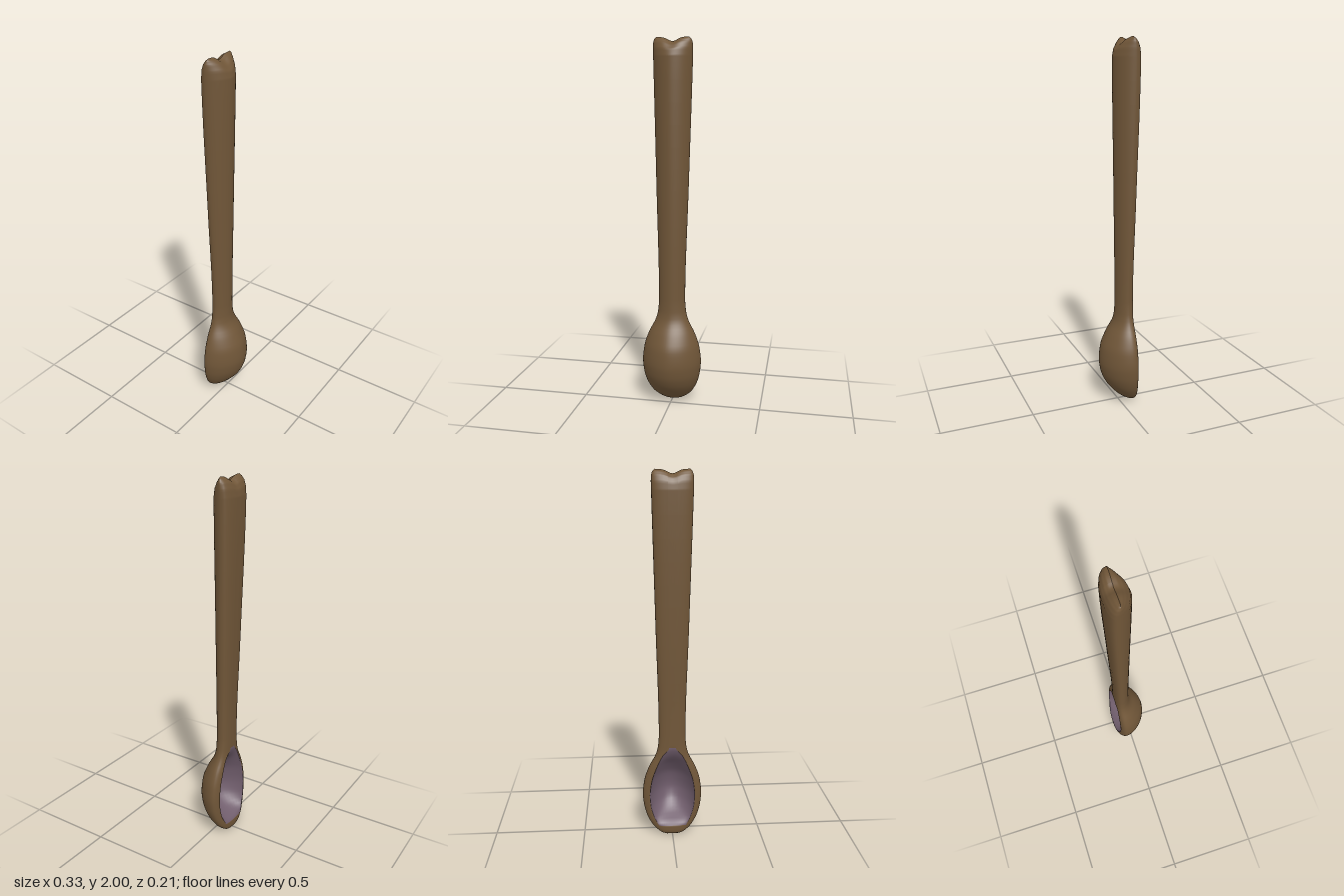
import * as THREE from 'three';

// Cross-sections: height, half width, front z, z of widest point, back z, hollow half width, hollow depth
const SECTIONS = [
  [0.0, 0.03, -0.07, -0.07, -0.07, 0.02, 0],
  [0.012, 0.058, -0.034, -0.068, -0.087, 0.04, 0],
  [0.035, 0.09, 0.0, -0.06, -0.092, 0.06, 0],
  [0.06, 0.114, 0.026, -0.052, -0.092, 0.076, 0],
  [0.12, 0.145, 0.072, -0.042, -0.088, 0.107, 0.085],
  [0.18, 0.16, 0.096, -0.037, -0.086, 0.122, 0.135],
  [0.24, 0.165, 0.104, -0.035, -0.085, 0.126, 0.15],
  [0.32, 0.156, 0.096, -0.035, -0.084, 0.117, 0.135],
  [0.4, 0.13, 0.064, -0.036, -0.081, 0.092, 0.085],
  [0.48, 0.09, 0.022, -0.038, -0.077, 0.055, 0.018],
  [0.53, 0.078, 0.014, -0.04, -0.076, 0.018, 0],
  [0.6, 0.073, 0.012, -0.04, -0.076, 0.018, 0],
  [1.2, 0.088, 0.017, -0.052, -0.089, 0.02, 0],
  [1.9, 0.106, 0.024, -0.064, -0.104, 0.025, 0],
  [1.945, 0.107, 0.015, -0.063, -0.098, 0.025, 0],
  [1.975, 0.105, -0.005, -0.058, -0.086, 0.025, 0],
  [1.992, 0.099, -0.025, -0.053, -0.07, 0.025, 0],
  [2.002, 0.088, -0.05, -0.05, -0.05, 0.025, 0],
];

// Smooth interpolation of a section column without overshoot
function slope(i, k) {
  if (i === 0 || i === SECTIONS.length - 1) return 0;
  const [p, q, r] = [SECTIONS[i - 1], SECTIONS[i], SECTIONS[i + 1]];
  const a = (q[k] - p[k]) / (q[0] - p[0]);
  const b = (r[k] - q[k]) / (r[0] - q[0]);
  return a * b <= 0 ? 0 : (2 * a * b) / (a + b);
}

function sample(i, t) {
  const p = SECTIONS[i], q = SECTIONS[i + 1], d = q[0] - p[0];
  return p.map((v, k) => {
    if (k === 0) return v + d * t;
    if (i === 0 || i >= SECTIONS.length - 5) return v + (q[k] - v) * t;
    const t2 = t * t, t3 = t2 * t;
    return (2 * t3 - 3 * t2 + 1) * v + (t3 - 2 * t2 + t) * d * slope(i, k)
      + (3 * t2 - 2 * t3) * q[k] + (t3 - t2) * d * slope(i + 1, k);
  });
}

const FRONT = 32, RIM = 7, HOLLOW = 18;
const arc = (u, p) => Math.pow(Math.max(0, 1 - Math.pow(Math.min(1, Math.abs(u)), p)), 1 / p);

// One closed ring: front curve, rim, hollow, rim
function ringPoints([y, w, zf, zm, zb, hIn, depth]) {
  const pts = [];
  const h = Math.min(hIn, 0.9 * w);
  const back = (x) => zm + (zb - zm) * arc(x / w, 2.6);
  for (let j = 0; j < FRONT; j++) {
    const x = w * Math.cos((j / FRONT) * Math.PI);
    pts.push([x, zm + (zf - zm) * arc(x / w, 1.78)]);
  }
  const edge = Math.acos(h / w);
  for (let j = 0; j < RIM; j++) {
    const x = -w * Math.cos((j / RIM) * edge);
    pts.push([x, back(x)]);
  }
  for (let j = 0; j <= HOLLOW; j++) {
    const u = -Math.cos((j / HOLLOW) * Math.PI);
    pts.push([u * h, back(u * h) + depth * Math.pow(Math.max(0, 1 - u * u), 0.8)]);
  }
  for (let j = RIM - 1; j > 0; j--) {
    const x = w * Math.cos((j / RIM) * edge);
    pts.push([x, back(x)]);
  }
  // Dip in the middle of the handle's end
  const ramp = Math.max(0, (y - 1.9) / 0.1);
  return pts.map(([x, z]) => [x, y - 0.021 * ramp * Math.exp(-((x / 0.035) ** 2)), z]);
}

export function createModel() {
  const wood = new THREE.MeshStandardMaterial({ color: 0x705638 });
  wood.name = 'brown';
  const inner = new THREE.MeshStandardMaterial({ color: 0x715e6d });
  inner.name = 'dusty purple';

  // Rings from the tip of the bowl to the end of the handle
  const rows = [];
  for (let i = 0; i < SECTIONS.length - 1; i++) {
    const steps = SECTIONS[i][0] >= 0.6 && SECTIONS[i][0] < 1.9 ? 6 : 4;
    for (let s = 0; s < steps; s++) rows.push(sample(i, s / steps));
  }
  rows.push(SECTIONS[SECTIONS.length - 1]);
  const rings = rows.map(ringPoints);
  const n = rings[0].length;

  // Faces, sorted into the body and the hollow of the bowl
  const bodyFaces = [], hollowFaces = [];
  for (let i = 0; i < rings.length - 1; i++) {
    const mid = (rows[i][0] + rows[i + 1][0]) / 2;
    for (let j = 0; j < n; j++) {
      const k = (j + 1) % n;
      const a = i * n + j, b = a + n, c = i * n + k, d = c + n;
      const inHollow = j >= FRONT + RIM && j < FRONT + RIM + HOLLOW && mid > 0.06 && mid < 0.53;
      (inHollow ? hollowFaces : bodyFaces).push(a, b, c, b, d, c);
    }
  }

  // Both parts share smooth normals across their border
  const whole = new THREE.BufferGeometry();
  whole.setAttribute('position', new THREE.Float32BufferAttribute(rings.flat(2), 3));
  whole.setIndex([...bodyFaces, ...hollowFaces]);
  whole.computeVertexNormals();

  const group = new THREE.Group();
  group.name = 'spoon';
  const addPart = (name, faces, material) => {
    const geometry = whole.clone();
    geometry.setIndex(faces);
    const mesh = new THREE.Mesh(geometry, material);
    mesh.name = name;
    group.add(mesh);
  };
  addPart('handleAndBowl', bodyFaces, wood);
  addPart('bowlHollow', hollowFaces, inner);
  return group;
}
